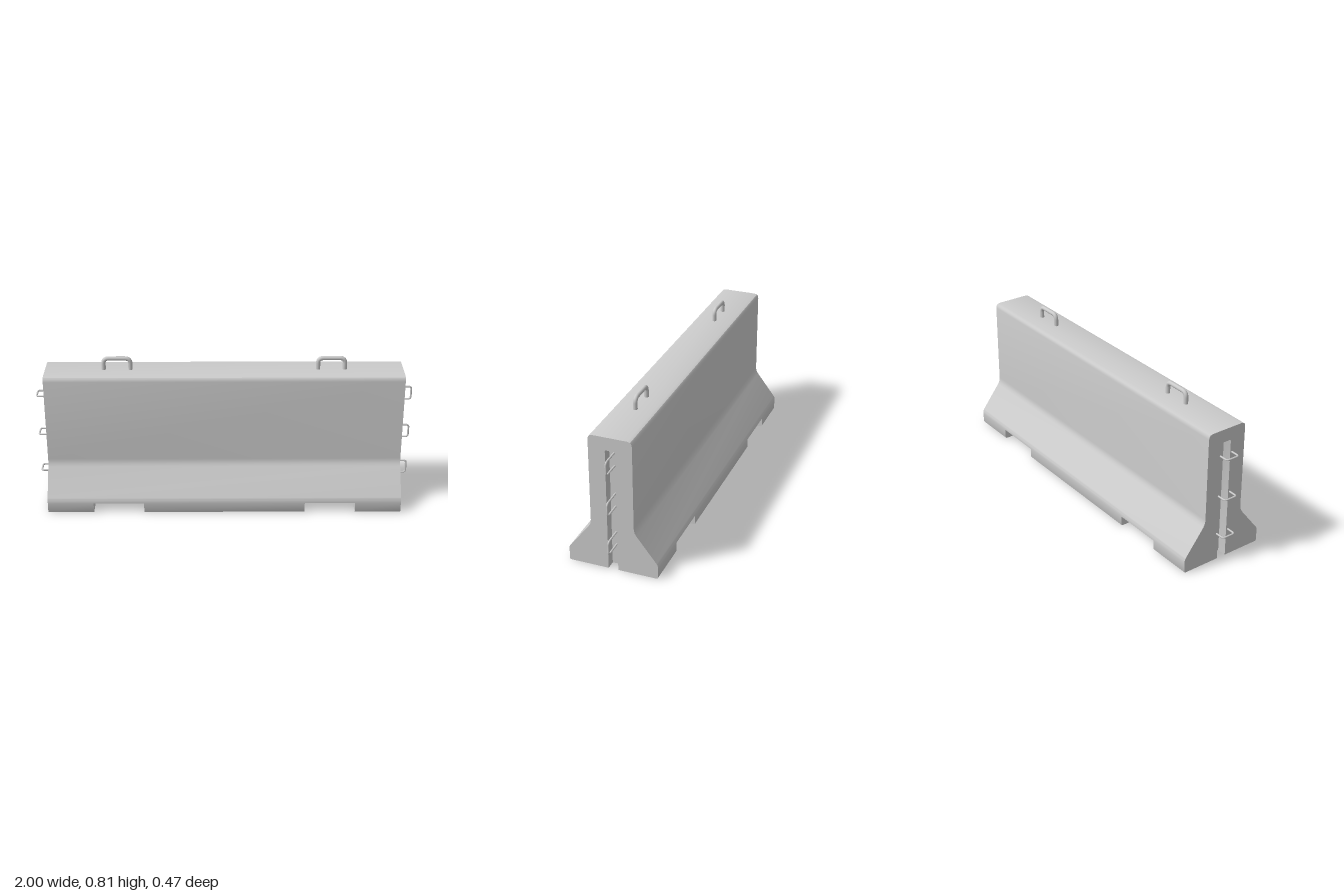
import * as THREE from 'three';
import { toCreasedNormals } from 'three/addons/utils/BufferGeometryUtils.js';

const L = 0.945;        // half length of the concrete body
const NOTCH = 0.055;    // height of the lifting notches
const DEPTH = 0.05;     // depth of the end slots
const material = new THREE.MeshStandardMaterial({ color: 0xcccccc, side: THREE.DoubleSide });

function add(parent, name, geometry) {
  const mesh = new THREE.Mesh(geometry, material);
  mesh.name = name;
  parent.add(mesh);
  return mesh;
}

// mirrors a half outline of [z, y] points to give the other half, in reverse order
const mirrored = half => [...half, ...half.map(([z, y]) => [-z, y]).reverse()];

// skin swept along x over an open outline of [z, y] points
function sweep(points, x0, x1) {
  const pos = [];
  for (let i = 0; i < points.length - 1; i++) {
    const [za, ya] = points[i], [zb, yb] = points[i + 1];
    pos.push(x0, ya, za, x1, ya, za, x1, yb, zb, x0, ya, za, x1, yb, zb, x0, yb, zb);
  }
  const g = new THREE.BufferGeometry();
  g.setAttribute('position', new THREE.Float32BufferAttribute(pos, 3));
  return toCreasedNormals(g, 0.55);
}

// flat wall across the body, facing +x (dir 1) or -x (dir -1)
function wall(parent, name, points, x, dir) {
  const shape = new THREE.Shape(points.map(([z, y]) => new THREE.Vector2(z, y)));
  const mesh = add(parent, name, new THREE.ShapeGeometry(shape));
  mesh.rotation.y = dir * Math.PI / 2;
  mesh.position.x = x;
}

// round bar bent to a U: legs from y = 0 to the given height, open at the bottom
function staple(halfWidth, height, bend, radius, sides) {
  const v = (x, y) => new THREE.Vector3(x, y, 0);
  const w = halfWidth - radius, h = height - radius;
  const path = new THREE.CurvePath();
  path.add(new THREE.LineCurve3(v(-w, 0), v(-w, h - bend)));
  path.add(new THREE.QuadraticBezierCurve3(v(-w, h - bend), v(-w, h), v(-w + bend, h)));
  path.add(new THREE.LineCurve3(v(-w + bend, h), v(w - bend, h)));
  path.add(new THREE.QuadraticBezierCurve3(v(w - bend, h), v(w, h), v(w, h - bend)));
  path.add(new THREE.LineCurve3(v(w, h - bend), v(w, 0)));
  return new THREE.TubeGeometry(path, 60, radius, sides, false);
}

export function createModel() {
  const model = new THREE.Group();
  model.name = 'concreteBarrier';

  // cross-section, split at the notch height
  const footHalf = [[0.229, 0], [0.234, 0.002], [0.236, 0.007], [0.236, NOTCH]];
  const bodyHalf = [
    [0.236, NOTCH], [0.236, 0.073], [0.234, 0.079], [0.23, 0.086], [0.126, 0.221], [0.118, 0.235],
    [0.114, 0.249], [0.113, 0.262], [0.113, 0.712], [0.11, 0.726], [0.104, 0.733], [0.09, 0.737],
  ];
  const slotHalf = [[-0.026, 0], [-0.026, 0.66], [-0.024, 0.666], [-0.019, 0.668]];
  const slot = mirrored(slotHalf);
  const foot = mirrored(footHalf);

  // hollow body, open underneath
  add(model, 'bodyShell', sweep(mirrored(bodyHalf), -L, L));

  // skirts of the three feet
  for (const [x0, x1] of [[-L, -0.70], [-0.43, 0.43], [0.70, L]]) {
    const skirt = new THREE.Group();
    skirt.name = 'footSkirt';
    add(skirt, 'frontSkirt', sweep(footHalf, x0, x1));
    add(skirt, 'backSkirt', sweep(foot.slice(footHalf.length), x0, x1));
    model.add(skirt);
  }

  for (const s of [-1, 1]) {
    // notch: roof and two side walls
    const roof = add(model, 'notchRoof', new THREE.PlaneGeometry(0.27, 0.472));
    roof.rotation.x = Math.PI / 2;
    roof.position.set(s * 0.565, NOTCH, 0);
    wall(model, 'notchInnerWall', foot, s * 0.43, s);
    wall(model, 'notchOuterWall', foot, s * 0.70, -s);

    // end face with its recessed slot
    const outline = [...mirrored([...footHalf, ...bodyHalf.slice(1)]), ...slot];
    wall(model, 'endFace', outline, s * L, s);
    const inner = s * (L - DEPTH);
    add(model, 'slotSides', sweep(slot, Math.min(s * L, inner), Math.max(s * L, inner)));
    wall(model, 'slotBack', slot, inner, s);

    // lifting handle on top
    const handle = add(model, 'liftingHandle', staple(0.082, 0.09, 0.028, 0.0115, 12));
    handle.position.set(s * 0.565, 0.72, 0);

    // coupling loops: upright on the left end, lying flat on the right end
    for (const y of [0.152, 0.371, 0.597]) {
      const loop = add(model, 'couplingLoop', staple(0.041, 1 - L + DEPTH, 0.015, 0.005, 8));
      loop.position.set(inner, y, 0);
      if (s > 0) loop.rotation.z = -Math.PI / 2;
      else loop.rotation.set(Math.PI / 2, 0, Math.PI / 2, 'XYZ');
    }
  }
  return model;
}
